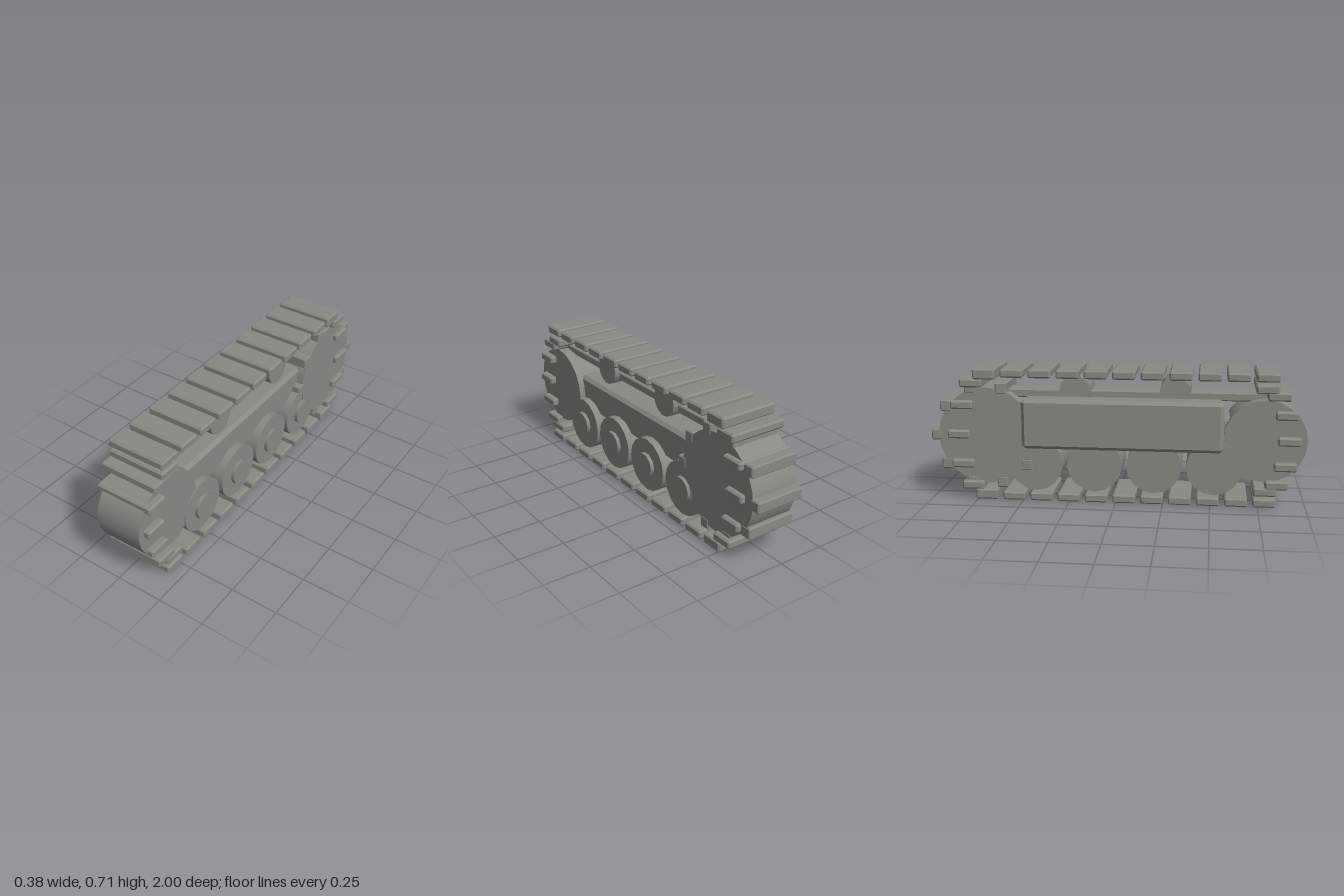
import * as THREE from 'three';
import { ConvexGeometry } from 'three/addons/geometries/ConvexGeometry.js';

const MID = 0.03; // x of the track's centre line

// Box with every edge cut by a flat chamfer
function chamferBox(w, h, d, c) {
  const pts = [];
  for (const sx of [-1, 1]) for (const sy of [-1, 1]) for (const sz of [-1, 1]) {
    for (const [cx, cy, cz] of [[0, c, c], [c, 0, c], [c, c, 0]]) {
      pts.push(new THREE.Vector3(sx * (w / 2 - cx), sy * (h / 2 - cy), sz * (d / 2 - cz)));
    }
  }
  return new ConvexGeometry(pts);
}

// Cylinder lying along x
function disc(radius, width, sides) {
  return new THREE.CylinderGeometry(radius, radius, width, sides).rotateZ(Math.PI / 2);
}

export function createModel() {
  const model = new THREE.Group();
  model.name = 'trackUnit';
  const steel = new THREE.MeshStandardMaterial({ color: 0x878a83 });

  const add = (name, geometry, x, y, z) => {
    const mesh = new THREE.Mesh(geometry, steel);
    mesh.name = name;
    mesh.position.set(x, y, z);
    model.add(mesh);
  };

  // Inner frame, upper rail and the armour plate on the right side
  add('frame', chamferBox(0.18, 0.19, 1.36, 0.018), MID, 0.368, 0.04);
  add('upperRail', chamferBox(0.13, 0.045, 1.54, 0.006), MID, 0.571, 0.03);
  add('sidePlate', chamferBox(0.125, 0.265, 1.055, 0.018), -0.1275, 0.434, 0.037);

  // End wheels: the sprocket stands slightly proud of the road wheels
  add('idlerWheel', disc(0.219, 0.248, 20), MID, 0.35, 0.781);
  add('driveSprocket', disc(0.262, 0.265, 24), MID, 0.348, -0.697);

  // Sprocket teeth stay upright around the rim
  const tooth = chamferBox(0.27, 0.06, 0.06, 0.006);
  for (let i = 0; i < 10; i++) {
    const a = (i / 10) * Math.PI * 2;
    add('sprocketTooth', tooth, MID, 0.349 + 0.27 * Math.sin(a), -0.699 - 0.27 * Math.cos(a));
  }

  // Road wheels with outer hubs
  const roadWheel = disc(0.147, 0.26, 16);
  const hub = disc(0.069, 0.04, 10);
  for (let i = 0; i < 4; i++) {
    const z = 0.518 - i * 0.317;
    add('roadWheel', roadWheel, MID, 0.2, z);
    add('wheelHub', hub, 0.16, 0.2, z);
  }

  // Return rollers under the upper run
  const roller = disc(0.083, 0.192, 14);
  for (const z of [0.308, -0.222]) add('returnRoller', roller, MID, 0.594, z);

  // Straight runs of track pads
  const pad = chamferBox(0.317, 0.045, 0.12, 0.008);
  for (let i = 0; i < 11; i++) {
    const z = 0.785 - i * 0.1485;
    add('upperPad', pad, MID, 0.69, z);
    add('lowerPad', pad, MID, 0.0225, z);
  }

  // Pads around both ends, on half ellipses
  const ends = [
    { name: 'frontPad', z: 0.785, depth: 0.12, height: 0.273 },
    { name: 'rearPad', z: -0.7, depth: -0.145, height: 0.322 },
  ];
  for (const end of ends) {
    for (let i = -3; i <= 3; i++) {
      const a = (i * Math.PI) / 6;
      add(end.name, pad, MID, 0.356 + end.height * Math.sin(a), end.z + end.depth * Math.cos(a));
    }
  }

  return model;
}
